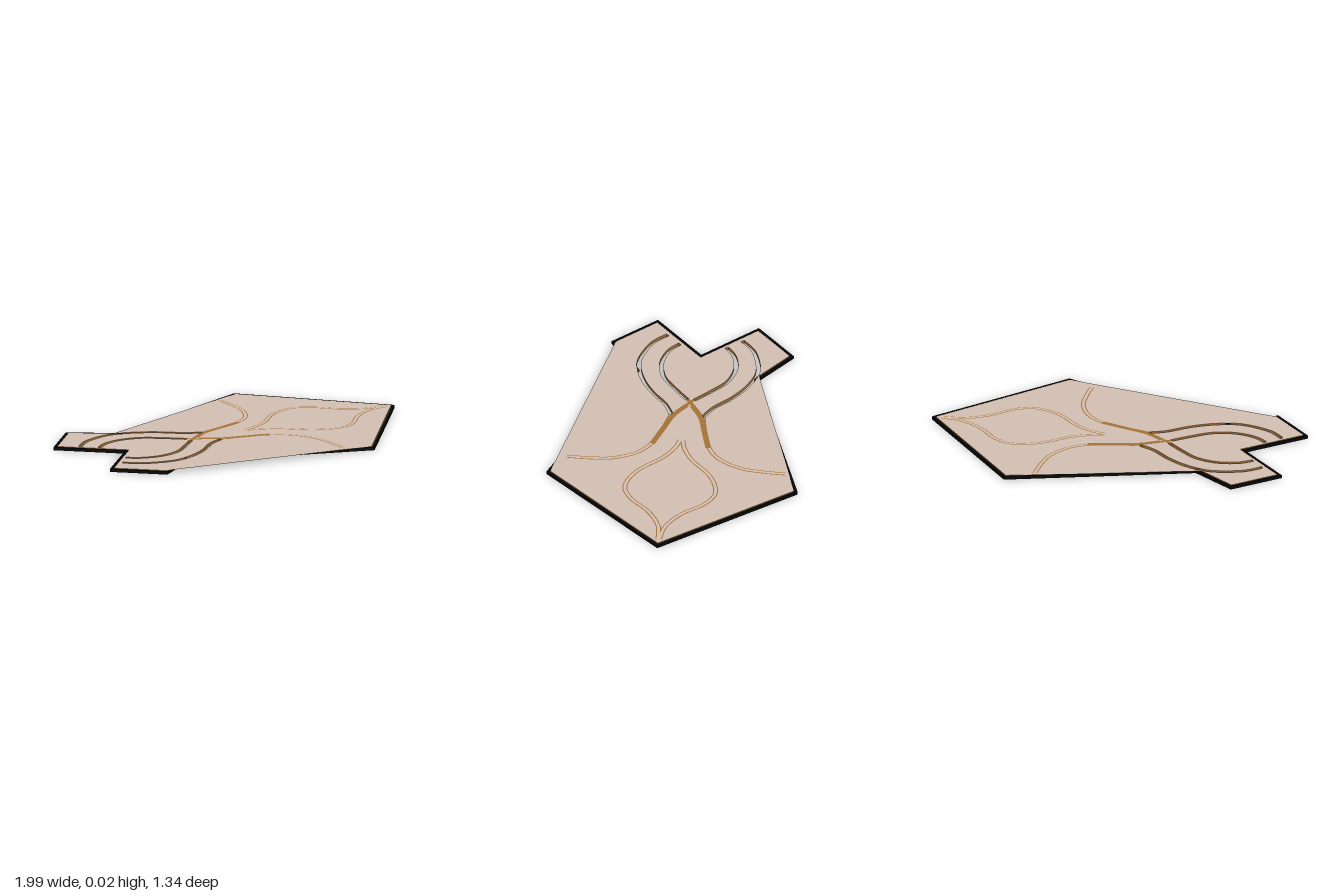
import * as THREE from 'three';

const TOP = 0.018;
const V = (p) => new THREE.Vector2(p[0], p[1]);

// half outline from nose to tail notch, mirrored across the long axis
const half = [[0.995, 0], [0.42, 0.672], [-0.54, 0.325], [-0.775, 0.487], [-0.997, 0.27], [-0.72, 0]];
const outline = [...half, ...half.slice(1, -1).reverse().map(([x, z]) => [x, -z])].map(V);

// move every edge of a counter-clockwise polygon inwards by d
function inset(pts, d) {
  const n = pts.length;
  return pts.map((p, i) => {
    const a = p.clone().sub(pts[(i + n - 1) % n]).normalize();
    const b = pts[(i + 1) % n].clone().sub(p).normalize();
    const na = new THREE.Vector2(-a.y, a.x), nb = new THREE.Vector2(-b.y, b.x);
    return na.clone().add(nb).multiplyScalar(d / (1 + na.dot(nb))).add(p);
  });
}

// outline of a strip of constant width along a smooth curve
function strip(points, width, side) {
  const curve = new THREE.SplineCurve(points.map(([x, z]) => new THREE.Vector2(x, z * side)));
  const left = [], right = [];
  for (let i = 0; i <= 40; i++) {
    const p = curve.getPoint(i / 40), t = curve.getTangent(i / 40);
    const n = new THREE.Vector2(-t.y, t.x).multiplyScalar(width / 2);
    left.push(p.clone().add(n));
    right.push(p.clone().sub(n));
  }
  return [...left, ...right.reverse()];
}

export function createModel() {
  const group = new THREE.Group();
  const mat = (color) => new THREE.MeshStandardMaterial({ color });
  const black = mat(0x080808), copper = mat(0xa8743a), tan = mat(0xd6c2b6);

  const makeShape = (pts, holes = []) => {
    const s = new THREE.Shape(pts);
    s.holes = holes.map((h) => new THREE.Path(h));
    return s;
  };
  const add = (name, geometry, material, y = 0) => {
    const mesh = new THREE.Mesh(geometry.rotateX(-Math.PI / 2), material);
    mesh.name = name;
    mesh.position.y = y;
    group.add(mesh);
  };
  const slab = (s, depth) => new THREE.ExtrudeGeometry(s, { depth, bevelEnabled: false });
  const flat = (s) => new THREE.ShapeGeometry(s);

  // centre lines, one side
  const outerCut = [[-0.87, 0.2], [-0.78, 0.275], [-0.62, 0.318], [-0.48, 0.285], [-0.36, 0.215], [-0.26, 0.13], [-0.17, 0.085]];
  const innerCut = [[-0.8, 0.125], [-0.73, 0.175], [-0.62, 0.198], [-0.5, 0.17], [-0.4, 0.095], [-0.315, 0.02]];
  const crossing = [[-0.315, 0.02], [-0.29, 0], [-0.22, -0.045], [-0.15, -0.085]];
  const gill = [[-0.17, 0.085], [-0.05, 0.11], [0.09, 0.15], [0.19, 0.22], [0.255, 0.34], [0.272, 0.46], [0.274, 0.585]];
  const wedge = [[-0.26, 0.015], [-0.16, 0.075], [-0.04, 0.11], [0.1, 0.15]];
  const drop = [[0.05, 0.008], [0.12, 0.025], [0.22, 0.08], [0.35, 0.195], [0.49, 0.242], [0.6, 0.195], [0.7, 0.09], [0.82, 0.02], [0.94, 0.004]];

  // slits cut right through the tail
  const cuts = [1, -1].flatMap((s) => [strip(outerCut, 0.022, s), strip(innerCut, 0.022, s)]);

  // rim, base plate and top panel
  add('rim', slab(makeShape(outline, [inset(outline, 0.012)]), 0.0165), black);
  const body = makeShape(inset(outline, 0.017), cuts);
  add('basePlate', slab(body, TOP - 0.0006), copper);
  add('topPanel', flat(body), tan, TOP);

  // inlaid lines: a copper band with a lighter core
  for (const s of [1, -1]) {
    const side = s > 0 ? 'right' : 'left';
    for (const [name, line] of [['gillBand', gill], ['dropBand', drop]]) {
      add(side + name, flat(makeShape(strip(line, 0.026, s))), copper, TOP + 0.0006);
      add(side + name + 'Core', flat(makeShape(strip(line, 0.015, s))), tan, TOP + 0.0012);
    }
    add(side + 'crossingBand', flat(makeShape(strip(crossing, 0.02, s))), copper, TOP + 0.0008);
    add(side + 'wedge', flat(makeShape(strip(wedge, 0.03, s))), copper, TOP + 0.0016);
  }
  return group;
}
